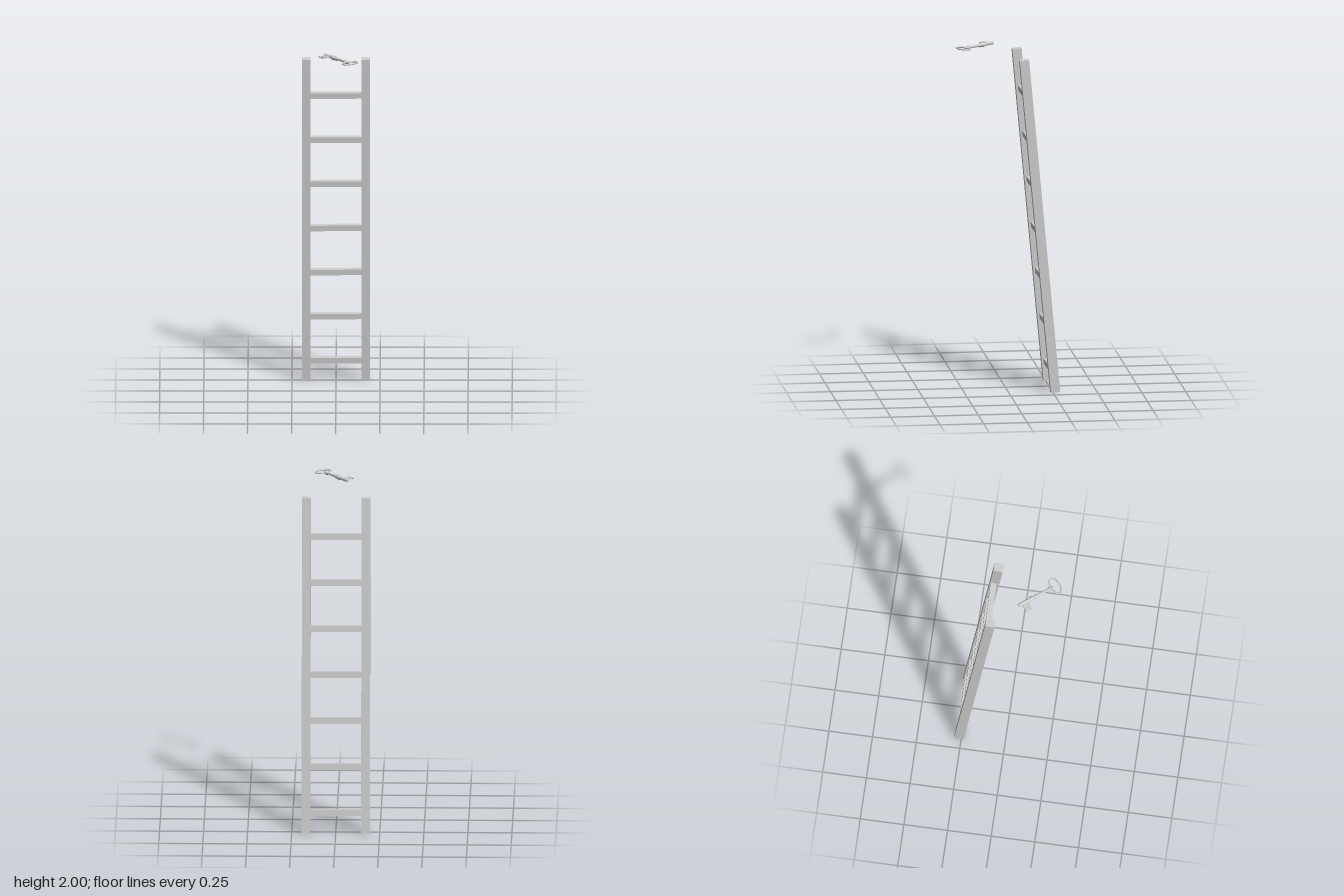
import * as THREE from 'three';

const mat = new THREE.MeshStandardMaterial({ color: 0xcccccc });

function add(parent, name, geometry, x = 0, y = 0, z = 0) {
  const mesh = new THREE.Mesh(geometry, mat);
  mesh.name = name;
  mesh.position.set(x, y, z);
  parent.add(mesh);
  return mesh;
}

// Leaning ladder: two square rails and seven slightly skewed rungs
function makeLadder() {
  const ladder = new THREE.Group();
  ladder.name = 'ladder';
  const lean = 0.092;
  ladder.position.set(0, 0.965, -0.1745);
  ladder.rotation.x = lean;

  for (const side of [-1, 1]) {
    add(ladder, side > 0 ? 'leftRail' : 'rightRail',
      new THREE.BoxGeometry(0.05, 1.933, 0.053), side * 0.169, 0, 0);
  }
  const rung = new THREE.BoxGeometry(0.35, 0.033, 0.033);
  for (let i = 0; i < 7; i++) {
    const y = (0.117 + i * 0.2647 - 0.965) / Math.cos(lean);
    add(ladder, 'rung', rung, 0, y, -0.004).rotation.y = 0.02;
  }
  return ladder;
}

// Floating key: local y runs from the tip to the bow, local x towards the bit
function makeKey() {
  const key = new THREE.Group();
  key.name = 'key';

  // Turned shaft with a central double bead and a collar below the bow
  const profile = [
    [0, 0], [0.007, 0], [0.0095, 0.003], [0.0095, 0.068], [0.012, 0.072],
    [0.014, 0.079], [0.014, 0.088], [0.0095, 0.097], [0.0085, 0.101],
    [0.012, 0.106], [0.012, 0.111], [0.0085, 0.117], [0.0075, 0.14],
    [0.0065, 0.19], [0.012, 0.193], [0.013, 0.197], [0.012, 0.2],
    [0.007, 0.203], [0.007, 0.206], [0.01, 0.208], [0.01, 0.211],
    [0.006, 0.214], [0.006, 0.226], [0, 0.226],
  ].map(([r, y]) => new THREE.Vector2(r, y));
  add(key, 'shaft', new THREE.LatheGeometry(profile, 16));

  // Flat bit with a central slot and side notches
  const bit = new THREE.Shape([
    [0, 0.017], [0.039, 0.017], [0.039, 0.023], [0.047, 0.023],
    [0.047, 0.016], [0.056, 0.016], [0.056, 0.033], [0.047, 0.033],
    [0.047, 0.030], [0.036, 0.030], [0.036, 0.043], [0.047, 0.043],
    [0.047, 0.040], [0.056, 0.040], [0.056, 0.057], [0.047, 0.057],
    [0.047, 0.050], [0.039, 0.050], [0.039, 0.057], [0, 0.057],
  ].map(([x, y]) => new THREE.Vector2(x, y)));
  add(key, 'bit', new THREE.ExtrudeGeometry(bit, { depth: 0.006, bevelEnabled: false }), 0, 0, -0.003);

  // Oval bow, slightly dented where it meets the shaft
  const points = [];
  for (let i = 0; i < 24; i++) {
    const a = i / 24 * Math.PI * 2;
    const dent = 0.004 * Math.pow(Math.max(0, -Math.sin(a)), 6);
    points.push(new THREE.Vector3(0.049 * Math.cos(a), 0.236 + 0.0275 * Math.sin(a) + dent, 0));
  }
  const path = new THREE.CatmullRomCurve3(points, true);
  add(key, 'bow', new THREE.TubeGeometry(path, 64, 0.0045, 10, true));

  // Lay the key flat and point it diagonally
  const along = new THREE.Vector3(0.607, 0, 0.794).normalize();
  const across = new THREE.Vector3(-along.z, 0, along.x);
  key.quaternion.setFromRotationMatrix(
    new THREE.Matrix4().makeBasis(across, along, new THREE.Vector3(0, 1, 0)));
  key.position.set(-0.063, 1.986, 0.062);
  return key;
}

export function createModel() {
  const model = new THREE.Group();
  model.name = 'ladderAndKey';
  model.add(makeLadder(), makeKey());
  return model;
}
